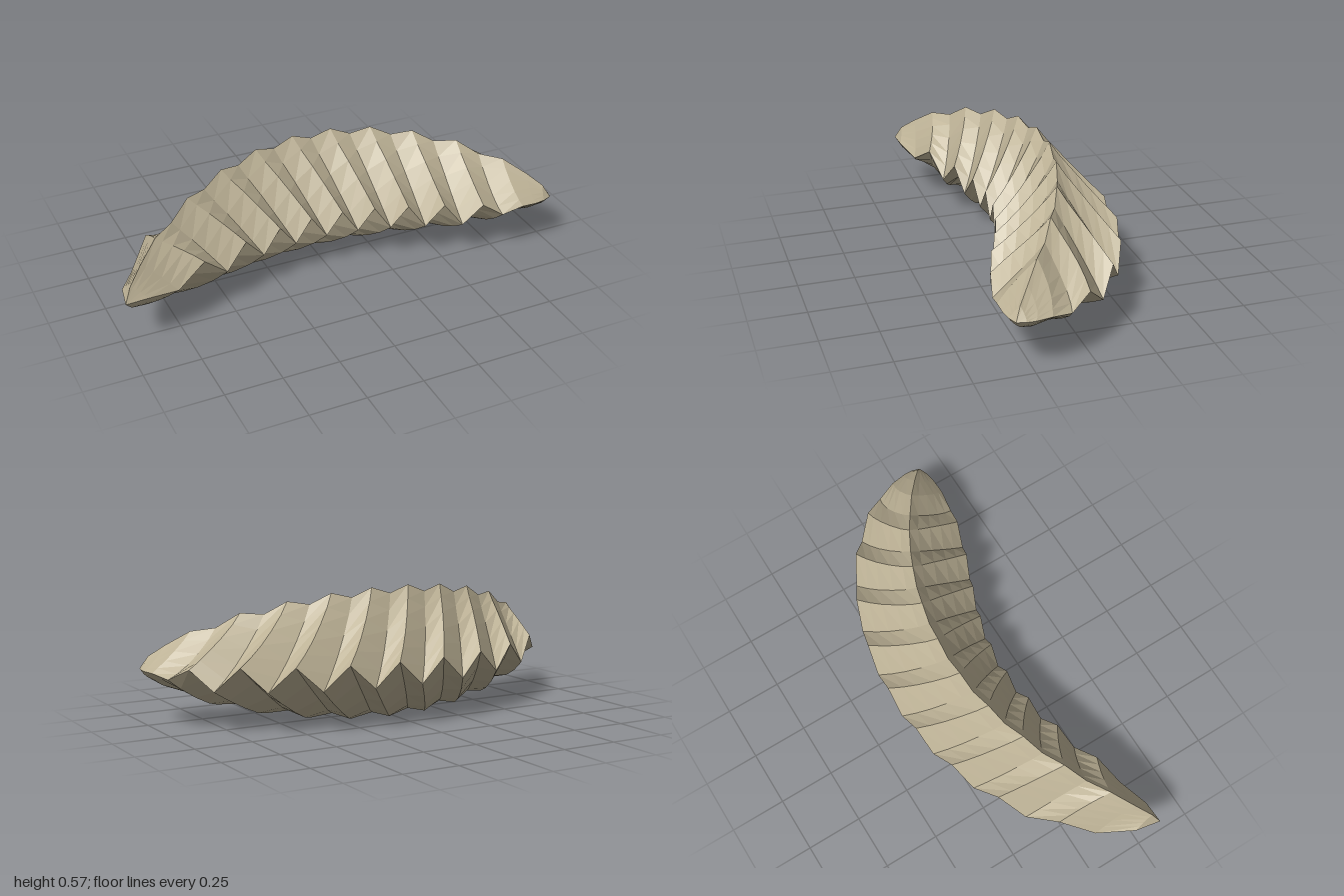
import * as THREE from 'three';

const { lerp, clamp } = THREE.MathUtils;
const END = 12; // half the number of pleat steps along the body

// Position along the bend for a pleat step, with finer steps at the rounded tips
function along(step) {
  const a = Math.abs(step);
  const x = a <= 10 ? a / 11 : a <= 11 ? lerp(10 / 11, 0.97, a - 10) : lerp(0.97, 1, a - 11);
  return Math.sign(step) * x + 0.015 * (1 - x * x);
}

// Quarter profiles [width, height] from the ridge or keel out to the side edge
const UPPER = [[0, 1], [0.16, 0.81], [0.38, 0.59], [0.6, 0.37], [0.8, 0.18], [1, 0]];
const LOWER = [[0, 1], [0.16, 0.93], [0.44, 0.69], [0.74, 0.36], [1, 0]];

// One surface point of pleat j: side is +1 front or -1 back, dir is +1 upper or -1 lower
function bodyPoint(j, side, dir, [pw, ph]) {
  // Pleats lean from ridge to side edge, less so towards the tips
  const lean = (side > 0 ? 1.6 : 1.9) * (1 - Math.pow(j / END, 4));
  const x = along(j + lean * pw), x2 = x * x;
  const width = (side > 0 ? 0.24 : 0.251) * Math.pow(Math.max(0, 1 - x2 * x2), 0.72)
    * (1 + (side > 0 ? 0.27 : 0.22) * x);
  const rise = Math.pow(Math.max(0, 1 - x2), 0.62) * (dir > 0 ? 0.325 * (1 - 0.03 * x) : -0.222);
  // Alternate pleats shift up and down, most strongly at the side edges
  const taper = clamp((0.93 - Math.abs(x)) * 5, 0, 1);
  const wave = (j % 2 === 0 ? -1 : 1) * taper * lerp(dir > 0 ? 0.016 : 0.012, 0.052, pw);
  const n = new THREE.Vector2(-0.88 * x, 1).normalize().multiplyScalar(side * width * pw);
  return [x + n.x, 0.236 + rise * ph + wave, -0.11 + 0.44 * x2 + n.y];
}

// Closed loop of points: ridge, front edge, keel, back edge
function crossSection(j) {
  return [
    ...UPPER.map((p) => bodyPoint(j, 1, 1, p)),
    ...LOWER.slice(0, -1).reverse().map((p) => bodyPoint(j, 1, -1, p)),
    ...LOWER.slice(1).map((p) => bodyPoint(j, -1, -1, p)),
    ...UPPER.slice(1, -1).reverse().map((p) => bodyPoint(j, -1, 1, p)),
  ];
}

export function createModel() {
  const group = new THREE.Group();
  group.name = 'pleatedCrescent';

  const rings = [];
  for (let j = -END; j <= END; j++) rings.push(crossSection(j));
  const count = rings[0].length;
  const indices = [];
  for (let r = 0; r < rings.length - 1; r++) {
    for (let k = 0; k < count; k++) {
      const a = r * count + k, b = r * count + (k + 1) % count;
      indices.push(a, b, a + count, b, b + count, a + count);
    }
  }
  const geometry = new THREE.BufferGeometry();
  geometry.setAttribute('position', new THREE.Float32BufferAttribute(rings.flat(2), 3));
  geometry.setIndex(indices);
  geometry.computeVertexNormals();
  geometry.computeBoundingBox();
  geometry.translate(0, -geometry.boundingBox.min.y, 0);

  // Curved body with slanted pleats and zigzag side seams
  const body = new THREE.Mesh(geometry, new THREE.MeshStandardMaterial({
    color: 0xbdb296, flatShading: true, side: THREE.DoubleSide,
  }));
  body.name = 'pleatedBody';
  group.add(body);
  return group;
}
